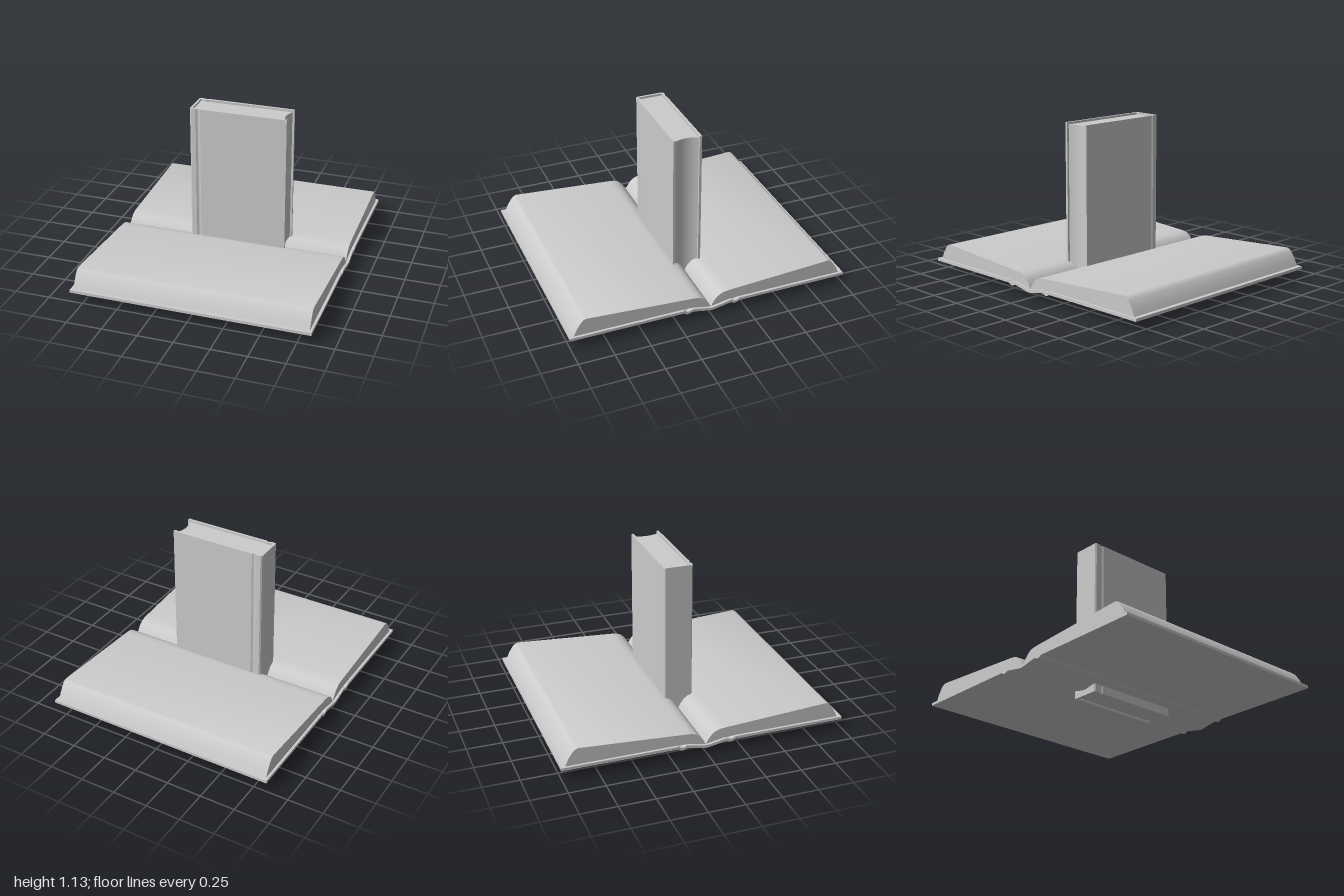
import * as THREE from 'three';
import { toCreasedNormals } from 'three/addons/utils/BufferGeometryUtils.js';

const material = new THREE.MeshStandardMaterial({ color: 0xcccccc });

// Closed outline extruded by depth, centred on the extrusion axis
function prism(points, depth) {
  const shape = new THREE.Shape(points.map(([a, b]) => new THREE.Vector2(a, b)));
  const geometry = new THREE.ExtrudeGeometry(shape, { depth, bevelEnabled: false });
  geometry.translate(0, 0, -depth / 2);
  return geometry;
}

function addPart(parent, name, geometry) {
  const mesh = new THREE.Mesh(toCreasedNormals(geometry, 0.6), material);
  mesh.name = name;
  parent.add(mesh);
  return mesh;
}

// Adds the mirrored half of a profile, in reverse order
const mirrorFirst = (pts) => [...pts, ...pts.slice(0, -1).reverse().map(([a, b]) => [-a, b])];
const mirrorSecond = (pts) => [...pts, ...pts.slice().reverse().map(([a, b]) => [a, -b])];

function openBook() {
  const book = new THREE.Group();
  book.name = 'openBook';

  // Cover: a band with hinge grooves beside the sagging spine (z, y)
  const middle = mirrorFirst([
    [1, 0.077], [0.2, 0.077], [0.188, 0.067], [0.172, 0.063], [0.158, 0.066],
    [0.145, 0.074], [0.125, 0.073], [0.06, 0.06], [0.025, 0.053], [0, 0.05],
  ]);
  const band = [
    ...middle.map(([z, y]) => [z, y + 0.01]),
    ...middle.slice().reverse().map(([z, y]) => [z, y - 0.01]),
  ];
  addPart(book, 'openCover', prism(band, 1.685).rotateY(-Math.PI / 2));

  // Two page stacks falling into the gutter
  const stack = [
    [0.97, 0.086], [0.948, 0.135], [0.918, 0.18], [0.9, 0.198], [0.88, 0.205],
    [0.14, 0.159], [0.1, 0.155], [0.07, 0.145], [0.045, 0.127], [0.025, 0.103],
    [0.01, 0.078], [0.001, 0.058], [0.06, 0.069], [0.14, 0.084], [0.2, 0.086],
  ];
  for (const side of [1, -1]) {
    const outline = stack.map(([z, y]) => [side * z, y]);
    addPart(book, side > 0 ? 'frontPages' : 'backPages',
      prism(outline, 1.65).rotateY(-Math.PI / 2));
  }
  return book;
}

function standingBook() {
  const book = new THREE.Group();
  book.name = 'standingBook';
  const height = 1.13;

  // Cover: U section with a flat spine and a hinge groove on each board (x, z)
  const outer = [
    [0.4, 0.103], [-0.22, 0.103], [-0.228, 0.097], [-0.236, 0.095], [-0.244, 0.097],
    [-0.252, 0.103], [-0.285, 0.103], [-0.295, 0.095],
  ];
  const inner = [
    [0.4, 0.086], [-0.22, 0.086], [-0.236, 0.08], [-0.252, 0.086], [-0.279, 0.086],
  ];
  const section = [...mirrorSecond(outer), ...mirrorSecond(inner).reverse()];
  addPart(book, 'standingCover', prism(section, height).rotateX(-Math.PI / 2))
    .position.y = height / 2;

  // Pages with a hollow fore edge, set back from the cover's ends
  const pages = [[-0.28, 0.085], [-0.28, -0.085]];
  for (let i = 0; i <= 12; i++) {
    const t = i / 6 - 1;
    pages.push([0.364 + 0.022 * t * t, 0.085 * t]);
  }
  addPart(book, 'standingPages', prism(pages, height - 0.03).rotateX(-Math.PI / 2))
    .position.y = height / 2;
  return book;
}

export function createModel() {
  const model = new THREE.Group();
  model.name = 'books';
  model.add(openBook(), standingBook());
  return model;
}
